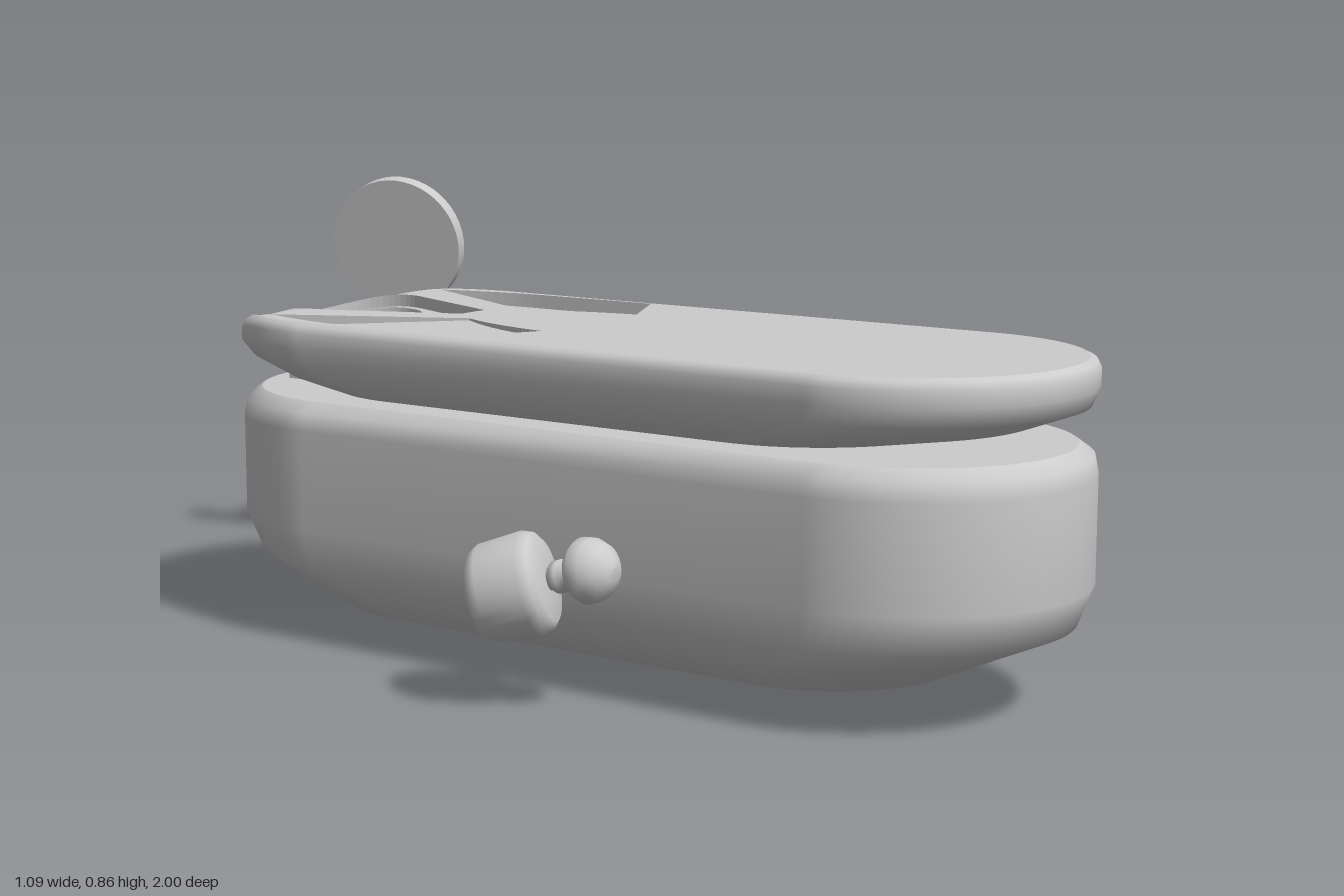
import * as THREE from 'three';

const mat = new THREE.MeshStandardMaterial({ color: 0xcccccc });
const thinMat = new THREE.MeshStandardMaterial({ color: 0xcccccc, side: THREE.DoubleSide });
const UP = new THREE.Vector3(0, 1, 0);
const BOWL_Z = -0.63;

function part(name, geometry, material = mat) {
  const mesh = new THREE.Mesh(geometry, material);
  mesh.name = name;
  return mesh;
}

// Stadium outline in x and z
function stadium(r, back, front, n = 32) {
  const pts = [];
  for (const [cz, start] of [[front - r, 0], [back + r, Math.PI]])
    for (let i = 0; i <= n; i++) {
      const t = start + (Math.PI * i) / n;
      pts.push(new THREE.Vector2(r * Math.cos(t), cz + r * Math.sin(t)));
    }
  return pts;
}

// Skin over stadium rows: [y, half width, back z, front z]
function stadiumHull(rows) {
  const pos = [], idx = [];
  let n = 0;
  rows.forEach(([y, r, back, front], k) => {
    const ring = stadium(r, back, front);
    n = ring.length;
    ring.forEach((p) => pos.push(p.x, y, p.y));
    if (k === 0) return;
    for (let i = 0; i < n; i++) {
      const a = (k - 1) * n + i, b = (k - 1) * n + ((i + 1) % n);
      idx.push(a, a + n, b, b, a + n, b + n);
    }
  });
  const g = new THREE.BufferGeometry();
  g.setAttribute('position', new THREE.Float32BufferAttribute(pos, 3));
  g.setIndex(idx);
  g.computeVertexNormals();
  return g;
}

// Move the height of each vertex by a rule
function reshape(g, rule) {
  const p = g.attributes.position;
  for (let i = 0; i < p.count; i++) p.setY(i, rule(p.getX(i), p.getY(i), p.getZ(i)));
  g.computeVertexNormals();
  return g;
}

// The top of the lid slopes down toward its tail
const tailSlope = (x, y, z) => {
  const d = Math.max(0, -0.62 - z);
  return y - 1.3 * d * d * Math.max(0, (y - 0.5) / 0.14);
};

// Lay an x-z shape flat at height y
const layFlat = (g, y) => g.rotateX(Math.PI / 2).translate(0, y, 0);

function wingShape(s) {
  const w = new THREE.Shape();
  w.moveTo(s * 0.155, -0.04);
  w.quadraticCurveTo(s * 0.135, -0.18, s * 0.085, -0.27);
  w.lineTo(s * 0.265, -0.63);
  w.quadraticCurveTo(s * 0.305, -0.5, s * 0.31, -0.4);
  w.lineTo(s * 0.318, -0.12);
  w.closePath();
  return w;
}

function teardropPoints() {
  const pts = [];
  for (let i = 0; i <= 40; i++) {
    const t = THREE.MathUtils.degToRad(15 - (210 * i) / 40);
    pts.push(new THREE.Vector2(0.15 * Math.cos(t), BOWL_Z + 0.15 * Math.sin(t)));
  }
  pts.push(new THREE.Vector2(-0.037, -0.33), new THREE.Vector2(0.037, -0.33));
  return pts;
}

function createLid() {
  const lid = new THREE.Group();
  lid.name = 'lid';
  lid.add(part('lidRim', reshape(stadiumHull([
    [0.495, 0, 0.09, 0.09], [0.495, 0.28, -0.6, 0.74], [0.495, 0.28, -0.6, 0.74],
    [0.52, 0.313, -0.71, 0.89], [0.555, 0.335, -0.8, 0.985], [0.59, 0.343, -0.83, 1],
    [0.62, 0.343, -0.83, 1], [0.634, 0.337, -0.823, 0.993], [0.64, 0.325, -0.81, 0.98],
  ]), tailSlope)));

  // Top skin with openings for the wings and the bowl
  const top = new THREE.Shape(stadium(0.325, -0.81, 0.98));
  top.holes.push(new THREE.Path(teardropPoints()));
  for (const s of [-1, 1]) top.holes.push(new THREE.Path(wingShape(s).getPoints(10)));
  const skin = layFlat(new THREE.ExtrudeGeometry(top, { depth: 0.04, bevelEnabled: false }), 0.64);
  lid.add(part('lidTop', reshape(skin, tailSlope)));

  // Sunken wings, falling away to the sides
  for (const s of [-1, 1]) {
    const g = layFlat(new THREE.ShapeGeometry(wingShape(s), 10), 0.636);
    reshape(g, (x, y, z) => tailSlope(x, y - 0.025 * Math.max(0, (Math.abs(x) - 0.085) / 0.23), z));
    lid.add(part(s > 0 ? 'leftWing' : 'rightWing', g, thinMat));
  }

  // Teardrop recess floor around the bowl
  const floor = new THREE.Shape(teardropPoints());
  floor.holes.push(new THREE.Path().absarc(0, BOWL_Z, 0.13, 0, Math.PI * 2));
  lid.add(part('recessFloor', reshape(layFlat(new THREE.ShapeGeometry(floor, 24), 0.615), tailSlope), thinMat));

  const bowl = new THREE.LatheGeometry(
    [[0, 0.555], [0.115, 0.555], [0.125, 0.565], [0.13, 0.615]].map((p) => new THREE.Vector2(...p)), 48);
  lid.add(part('bowl', reshape(bowl.translate(0, 0, BOWL_Z), tailSlope), thinMat));

  // Toothed wheel in the bowl
  const wheel = new THREE.Group();
  wheel.name = 'toothedWheel';
  wheel.position.set(0, 0.565, BOWL_Z);
  wheel.add(part('wheelHub', new THREE.CylinderGeometry(0.07, 0.07, 0.015, 20)));
  for (let i = 0; i < 10; i++) {
    const t = (i * Math.PI) / 5;
    const tooth = part('tooth', new THREE.BoxGeometry(0.045, 0.03, 0.03));
    tooth.position.set(0.092 * Math.cos(t), 0.005, 0.092 * Math.sin(t));
    tooth.rotation.y = -t;
    wheel.add(tooth);
  }
  lid.add(wheel);
  return lid;
}

// Turned solid with its axis along dir
function turned(name, profile, at, dir) {
  const m = part(name, new THREE.LatheGeometry(profile.map((p) => new THREE.Vector2(...p)), 32));
  m.position.copy(at);
  m.quaternion.setFromUnitVectors(UP, dir.clone().normalize());
  return m;
}

function createSideHandle(s) {
  const handle = new THREE.Group();
  handle.name = s > 0 ? 'leftHandle' : 'rightHandle';
  const v = (x, y, z) => new THREE.Vector3(s * x, y, z);
  handle.add(turned('handleDrum', [
    [0, -0.08], [0.05, -0.077], [0.078, -0.066], [0.09, -0.045], [0.097, 0.035],
    [0.09, 0.055], [0.075, 0.066], [0.03, 0.07], [0, 0.07],
  ], v(0.443, 0.22, 0.115), v(-0.4, 0.25, 0.88)));
  const a = v(0.42, 0.235, 0.165), b = v(0.422, 0.263, 0.25);
  handle.add(turned('handleNeck', [
    [0.022, 0], [0.02, 0.025], [0.03, 0.035], [0.03, 0.05], [0.02, 0.06], [0.02, 0.09],
  ], a, b.clone().sub(a)));
  handle.add(turned('handleKnob', [
    [0, 0], [0.03, 0], [0.052, 0.006], [0.06, 0.02], [0.057, 0.042],
    [0.044, 0.064], [0.024, 0.078], [0, 0.083],
  ], v(0.422, 0.262, 0.242), v(0, 0.2, 0.98)));
  return handle;
}

// Round plate with a pin, floating beside the tail
function createPlug() {
  const plug = new THREE.Group();
  plug.name = 'plug';
  const disc = part('plugDisc', new THREE.CylinderGeometry(0.148, 0.148, 0.035, 48));
  const pin = part('plugPin', new THREE.CylinderGeometry(0.05, 0.05, 0.13, 32));
  pin.position.y = 0.065;
  plug.add(disc, pin);
  plug.position.set(0.395, 0.716, -0.857);
  plug.quaternion.setFromUnitVectors(UP, new THREE.Vector3(0.93, 0.18, -0.31).normalize());
  return plug;
}

export function createModel() {
  const model = new THREE.Group();
  model.name = 'model';

  model.add(part('hull', stadiumHull([
    [0.003, 0, 0.09, 0.09], [0.06, 0.25, -0.58, 0.75], [0.115, 0.3, -0.7, 0.87],
    [0.16, 0.33, -0.79, 0.97], [0.235, 0.343, -0.827, 1], [0.43, 0.343, -0.827, 1],
    [0.465, 0.338, -0.82, 0.993], [0.485, 0.31, -0.79, 0.965],
    [0.485, 0.31, -0.79, 0.965], [0.485, 0, 0.09, 0.09],
  ])));
  model.add(createLid());

  // Hinge plate between hull and lid
  const hinge = part('hingePlate', new THREE.BoxGeometry(0.21, 0.025, 0.22));
  hinge.position.set(0, 0.495, -0.62);
  model.add(hinge);

  for (const s of [-1, 1]) model.add(createSideHandle(s));
  model.add(createPlug());
  return model;
}
